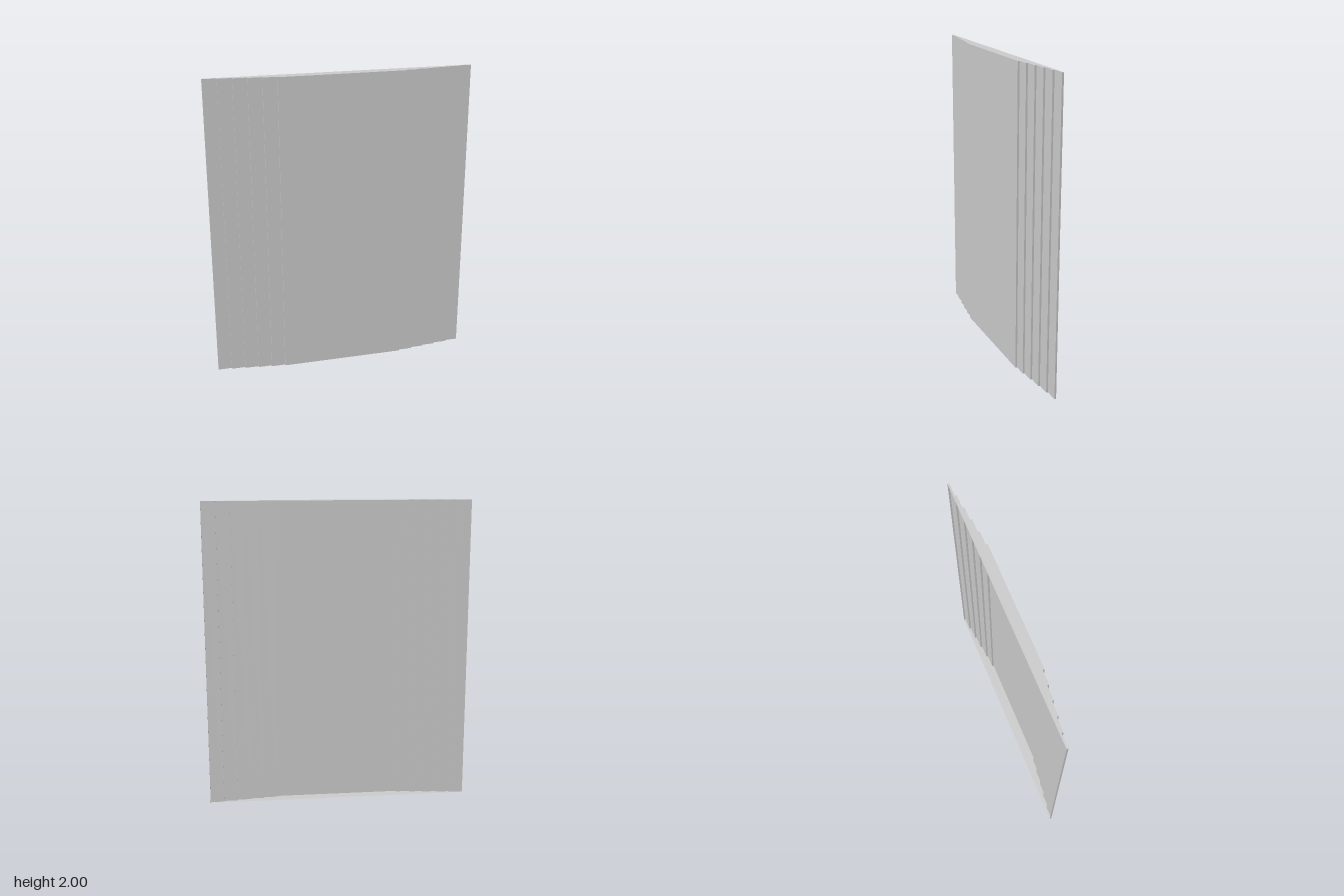
import * as THREE from 'three';

const HEIGHT = 2, HALF_WIDTH = 0.862, CENTRE_HALF = 0.41, DEPTH = 0.07, STEPS = 6;

export function createModel() {
  const group = new THREE.Group();
  group.name = 'steppedPanel';
  const material = new THREE.MeshStandardMaterial({ color: 0xcccccc, side: THREE.DoubleSide });
  const add = (name, geometry, x, y, z) => {
    const mesh = new THREE.Mesh(geometry, material);
    mesh.name = name;
    mesh.position.set(x, y, z);
    group.add(mesh);
  };

  const rise = DEPTH / STEPS;
  const tread = (HALF_WIDTH - CENTRE_HALF) / (STEPS - 1);
  const outline = []; // right half of the stepped plan, from back to front

  // Raised centre
  add('centrePanel', new THREE.PlaneGeometry(2 * CENTRE_HALF, HEIGHT), 0, HEIGHT / 2, DEPTH / 2);

  // Steps on both sides: a narrow riser and a front strip each; the back stays open
  for (let i = 0; i < STEPS; i++) {
    const x = HALF_WIDTH - i * tread;
    const z = -DEPTH / 2 + i * rise;
    outline.push([x, z], [x, z + rise]);
    for (const side of [1, -1]) {
      const label = side > 0 ? 'left' : 'right';
      add(label + 'Riser' + (i + 1),
        new THREE.PlaneGeometry(rise, HEIGHT).rotateY(side * Math.PI / 2),
        side * x, HEIGHT / 2, z + rise / 2);
      if (i < STEPS - 1) {
        add(label + 'Strip' + (i + 1), new THREE.PlaneGeometry(tread, HEIGHT),
          side * (x - tread / 2), HEIGHT / 2, z + rise);
      }
    }
  }

  // Top and bottom caps share the stepped plan
  const plan = [...outline, ...outline.map(([x, z]) => [-x, z]).reverse()];
  const capShape = (sign) => new THREE.Shape(plan.map(([x, z]) => new THREE.Vector2(x, sign * z)));
  add('bottomCap', new THREE.ShapeGeometry(capShape(1)).rotateX(Math.PI / 2), 0, 0, 0);
  add('topCap', new THREE.ShapeGeometry(capShape(-1)).rotateX(-Math.PI / 2), 0, HEIGHT, 0);

  return group;
}
